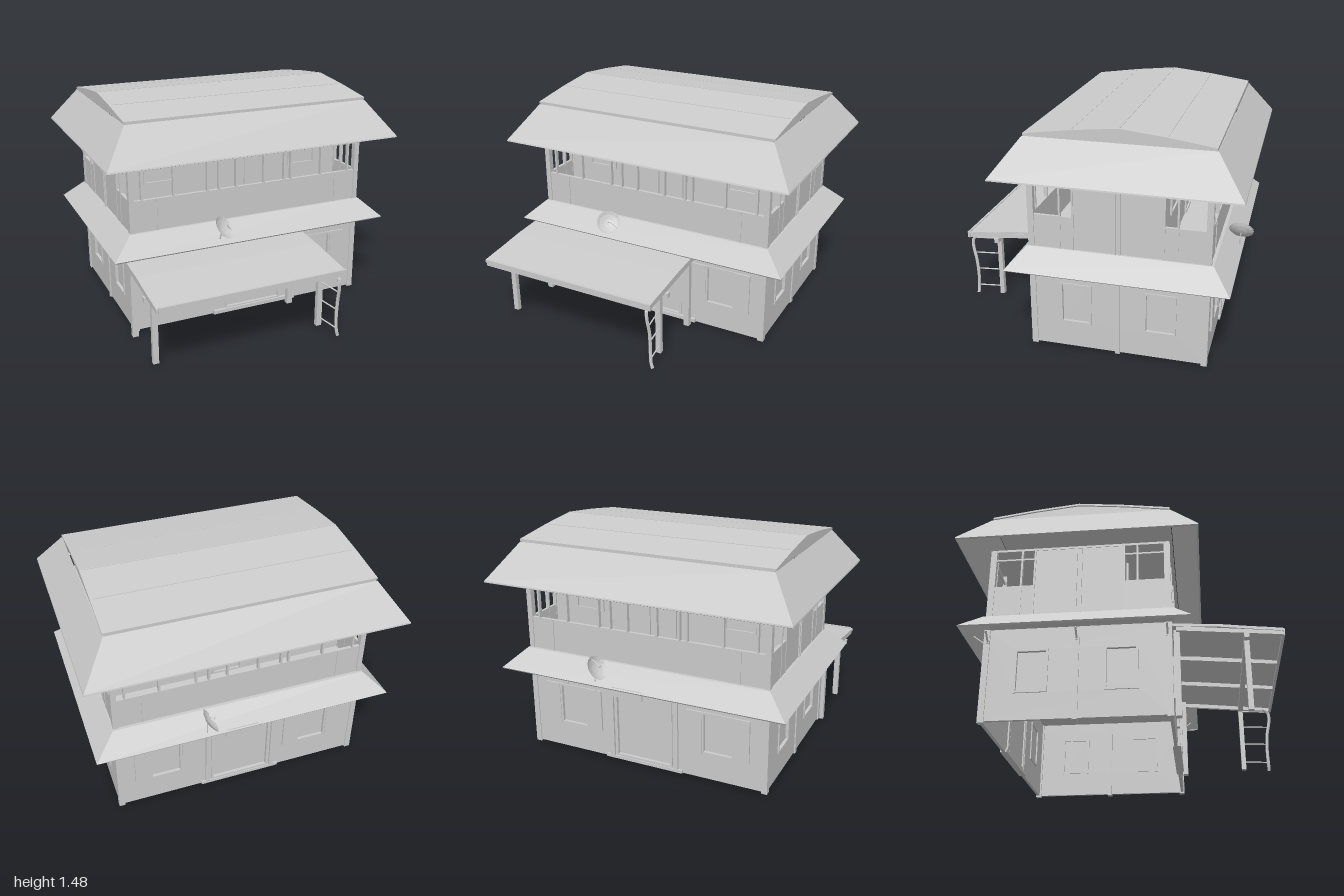
import * as THREE from 'three';

const mat = new THREE.MeshStandardMaterial({ color: 0xcccccc, flatShading: true, side: THREE.DoubleSide });
const ZC = -0.225, HX = 0.82, HZ = 0.555; // house centre and half sizes

function add(parent, name, geo) {
  const m = new THREE.Mesh(geo, mat);
  m.name = name;
  parent.add(m);
  return m;
}
// box given by its extents on each axis
function box(parent, name, x0, x1, y0, y1, z0, z1) {
  const m = add(parent, name, new THREE.BoxGeometry(x1 - x0, y1 - y0, z1 - z0));
  m.position.set((x0 + x1) / 2, (y0 + y1) / 2, (z0 + z1) / 2);
  return m;
}
// square or round bar between two points
function bar(parent, name, a, b, r, sides = 4) {
  const A = new THREE.Vector3(...a), B = new THREE.Vector3(...b), d = B.clone().sub(A);
  const m = add(parent, name, new THREE.CylinderGeometry(r, r, d.length(), sides));
  m.position.copy(A).add(B).multiplyScalar(0.5);
  m.quaternion.setFromUnitVectors(new THREE.Vector3(0, 1, 0), d.normalize());
  return m;
}
function rectShape(x0, x1, y0, y1, Type = THREE.Shape) {
  return new Type([[x0, y0], [x1, y0], [x1, y1], [x0, y1]].map(p => new THREE.Vector2(...p)));
}
// rings of four corners {x, y, z0, z1} joined into sloping roof faces
function hipRoof(parent, name, rings) {
  const pos = [];
  const corners = r => [[-r.x, r.y, r.z1], [r.x, r.y, r.z1], [r.x, r.y, r.z0], [-r.x, r.y, r.z0]];
  for (let i = 0; i < rings.length - 1; i++) {
    const a = corners(rings[i]), b = corners(rings[i + 1]);
    for (let k = 0; k < 4; k++) {
      const n = (k + 1) % 4;
      pos.push(...a[k], ...a[n], ...b[n], ...a[k], ...b[n], ...b[k]);
    }
  }
  const g = new THREE.BufferGeometry();
  g.setAttribute('position', new THREE.Float32BufferAttribute(pos, 3));
  g.computeVertexNormals();
  return add(parent, name, g);
}
// (z, y) outline extruded along x
function alongX(parent, name, pts, x0, x1) {
  const s = new THREE.Shape(pts.map(([z, y]) => new THREE.Vector2(-z, y)));
  const m = add(parent, name, new THREE.ExtrudeGeometry(s, { depth: x1 - x0, bevelEnabled: false }));
  m.rotation.y = Math.PI / 2;
  m.position.x = x0;
  return m;
}
// four thin bars around an opening
function frame(parent, name, x0, x1, y0, y1, z, d, t = 0.014) {
  box(parent, name, x0, x0 + t, y0, y1, z - d, z + d);
  box(parent, name, x1 - t, x1, y0, y1, z - d, z + d);
  box(parent, name, x0 + t, x1 - t, y0, y0 + t, z - d, z + d);
  box(parent, name, x0 + t, x1 - t, y1 - t, y1, z - d, z + d);
}
// group whose local +z is the outward normal of one house side
function side(root, name, angle, dist) {
  const g = new THREE.Group();
  g.name = name;
  g.rotation.y = angle;
  g.position.set(Math.sin(angle) * dist, 0, ZC + Math.cos(angle) * dist);
  root.add(g);
  return g;
}
// lower wall with openings, recessed panes and frames showing on both faces
function lowerWall(g, half, openings) {
  const s = rectShape(-half, half, 0.02, 0.6);
  for (const [x0, x1, y0, y1] of openings) {
    s.holes.push(rectShape(x0, x1, y0, y1, THREE.Path));
    box(g, 'pane', x0, x1, y0, y1, -0.018, -0.012);
    frame(g, 'windowFrame', x0, x1, y0, y1, -0.01, 0.018);
  }
  add(g, 'lowerWall', new THREE.ExtrudeGeometry(s, { depth: 0.02, bevelEnabled: false })).position.z = -0.02;
}
function shutteredWindow(g, x0, x1) {
  for (const [a, b] of [[x0 - 0.1, x0], [x1, x1 + 0.1]]) box(g, 'shutter', a, b, 0.19, 0.47, 0, 0.012);
  const arch = new THREE.Shape();
  arch.absarc(0, 0, 0.09, 0.6, Math.PI - 0.6, false);
  arch.absarc(0, 0, 0.055, Math.PI - 0.6, 0.6, true);
  const m = add(g, 'windowArch', new THREE.ExtrudeGeometry(arch, { depth: 0.012, bevelEnabled: false, curveSegments: 8 }));
  m.position.set((x0 + x1) / 2, 0.445, 0);
}
// rail panel, muntins and cross bar of an open gallery stretch
function gallery(g, x0, x1, muntins, muntinFoot) {
  box(g, 'railPanel', x0, x1, 0.68, 0.9, -0.02, 0);
  box(g, 'crossBar', x0, x1, 1.086, 1.097, -0.016, -0.004);
  for (const x of muntins) box(g, 'muntin', x - 0.006, x + 0.006, muntinFoot, 1.15, -0.022, 0.003);
}
function dish(root, at, normal, foot) {
  const g = new THREE.Group();
  g.name = 'dishAntenna';
  const prof = [[0, 0], [0.03, 0.004], [0.06, 0.014], [0.08, 0.026]].map(p => new THREE.Vector2(...p));
  add(g, 'dishBowl', new THREE.LatheGeometry(prof, 16));
  bar(g, 'dishArm', [0.07, 0.02, 0], [0, 0.05, 0], 0.002);
  add(g, 'dishReceiver', new THREE.CylinderGeometry(0.006, 0.006, 0.015, 6)).position.y = 0.05;
  g.position.set(...at);
  g.quaternion.setFromUnitVectors(new THREE.Vector3(0, 1, 0), new THREE.Vector3(...normal).normalize());
  root.add(g);
  bar(root, 'dishMast', foot, at, 0.004, 6);
}

export function createModel() {
  const root = new THREE.Group();
  root.name = 'house';
  const front = side(root, 'frontSide', 0, HZ), back = side(root, 'backSide', Math.PI, HZ);
  const left = side(root, 'leftSide', Math.PI / 2, HX), right = side(root, 'rightSide', -Math.PI / 2, HX);

  // Lower storey
  lowerWall(front, HX, [[-0.64, -0.42, 0.19, 0.46], [0.41, 0.62, 0.19, 0.47], [-0.18, 0.23, 0.04, 0.45]]);
  lowerWall(back, HX, [[-0.61, -0.4, 0.19, 0.47], [0.4, 0.61, 0.19, 0.47], [-0.2, 0.2, 0.04, 0.5]]);
  shutteredWindow(front, 0.41, 0.62);
  shutteredWindow(back, -0.61, -0.4);
  shutteredWindow(back, 0.4, 0.61);
  for (const x of [-0.27, 0.23]) box(front, 'doorPost', x, x + 0.04, 0.15, 0.47, -0.03, 0.018);
  box(front, 'doorStep', -0.27, 0.34, 0.02, 0.045, -0.03, 0.02);
  for (const x of [-0.24, 0.21]) box(back, 'doorPost', x, x + 0.03, 0.03, 0.53, -0.03, 0.014);
  box(back, 'doorStep', -0.27, 0.27, 0.02, 0.04, -0.03, 0.014);
  box(back, 'doorBoard', -0.15, 0.06, 0.52, 0.58, 0.115, 0.128);
  box(root, 'lowerCeiling', -HX, HX, 0.585, 0.6, ZC - HZ, ZC + HZ);
  for (const g of [left, right]) {
    const f = g === left ? 1 : -1;
    const win = c => [f * c - 0.1, f * c + 0.1, 0.185, 0.46];
    lowerWall(g, HZ, [win(-0.265), win(0.265)]);
    box(g, 'middlePost', -0.015, 0.015, 0.01, 0.57, -0.03, 0.008);
    // Upper side: open galleries at both ends of a closed middle
    for (const s of [-1, 1]) gallery(g, s < 0 ? -0.54 : 0.275, s < 0 ? -0.275 : 0.54, [s * 0.278, s * 0.36], 0.69);
    for (const x of [-0.015, 0.015]) box(g, 'panelStrip', x - 0.004, x + 0.004, 0.69, 1.15, -0.01, 0.006);
  }

  // Upper storey
  for (const g of [front, back]) {
    gallery(g, -HX, HX, [-0.74, -0.53, -0.3, -0.22, -0.1, 0.1, 0.25, 0.3, 0.53, 0.74], 0.9);
    for (const x of [-0.64, 0.64]) box(g, 'panelStrip', x - 0.004, x + 0.004, 0.69, 0.9, -0.016, 0.005);
    for (const x of [-0.53, 0.53]) frame(g, 'roomWindow', x - 0.105, x + 0.105, 0.9, 1.14, -0.28, 0.012);
    frame(g, 'roomDoor', -0.1, 0.1, 0.7, 1.14, -0.28, 0.012);
    box(g, 'roomDoorBar', -0.1, 0.1, 1.025, 1.035, -0.28, -0.27);
  }
  box(root, 'upperRoom', -HX + 0.003, HX - 0.003, 0.68, 1.16, ZC - 0.275, ZC + 0.275);
  box(root, 'upperFloor', -HX, HX, 0.675, 0.69, ZC - HZ, ZC + HZ);
  box(root, 'upperCeiling', -HX, HX, 1.15, 1.165, ZC - HZ, ZC + HZ);

  // Corner posts and eave brackets
  for (const sx of [-1, 1]) {
    for (const sz of [-1, 1]) {
      const x = sx * 0.808, z = ZC + sz * 0.542;
      box(root, 'cornerPost', x - 0.019, x + 0.019, 0.01, 0.6, z - 0.019, z + 0.019);
      box(root, 'upperPost', x - 0.017, x + 0.017, 0.68, 1.16, z - 0.019, z + 0.019);
      bar(root, 'eaveBracket', [x, 0.5, z], [x, 0.57, z + sz * 0.09], 0.006);
    }
    for (const z of [ZC - 0.535, ZC, ZC + 0.535]) {
      bar(root, 'eaveBracket', [sx * 0.82, 0.51, z], [sx * 0.885, 0.565, z], 0.006);
      box(root, 'bracketFoot', sx * 0.823 - 0.008, sx * 0.823 + 0.008, 0.51, 0.56, z - 0.01, z + 0.01);
    }
    bar(root, 'eaveBracket', [sx * 0.28, 0.5, ZC - HZ], [sx * 0.28, 0.57, ZC - HZ - 0.09], 0.006);
  }

  // Skirt roof between the storeys
  hipRoof(root, 'skirtRoof', [
    { x: 0.952, y: 0.56, z0: -0.908, z1: 0.448 }, { x: 0.962, y: 0.569, z0: -0.915, z1: 0.455 },
    { x: 0.83, y: 0.692, z0: -0.8, z1: 0.345 }, { x: 0.81, y: 0.692, z0: -0.78, z1: 0.325 }]);

  // Main roof: steep hipped eaves under a shallow folded top
  hipRoof(root, 'mainRoof', [
    { x: 0.987, y: 1.149, z0: -0.96, z1: 0.502 }, { x: 1, y: 1.154, z0: -0.97, z1: 0.515 },
    { x: 0.998, y: 1.163, z0: -0.968, z1: 0.512 }, { x: 0.835, y: 1.39, z0: -0.795, z1: 0.345 }]);
  const fold = [[0.34, 1.407], [0.05, 1.447], [-0.235, 1.476], [-0.51, 1.447], [-0.79, 1.407]];
  const under = fold.map(([z, y]) => [z, y - 0.013]);
  alongX(root, 'roofTop', [...fold, ...under.slice().reverse()], -0.838, 0.838);
  alongX(root, 'roofGable', [[0.34, 1.385], ...under, [-0.79, 1.385]], -0.828, 0.828);
  for (const [z, y] of fold.slice(1, 4)) box(root, 'roofSeam', -0.82, 0.82, y - 0.005, y + 0.002, z - 0.004, z + 0.004);

  // Porch roof with beams and posts
  const top = [[0.34, 0.555], [0.62, 0.536], [0.77, 0.517], [0.9, 0.503], [0.97, 0.494]];
  alongX(root, 'porchRoof', [...top, ...top.map(([z, y]) => [z, y - 0.017]).reverse()], -0.885, 0.345);
  for (const x of [-0.88, -0.48, -0.08, 0.32])
    alongX(root, 'porchRafter', [[0.36, 0.54], [0.96, 0.48], [0.96, 0.457], [0.36, 0.512]], x, x + 0.021);
  box(root, 'porchEdge', -0.87, 0.35, 0.459, 0.5, 0.96, 0.976);
  box(root, 'porchBeam', -0.892, 0.36, 0.444, 0.474, 0.745, 0.775);
  for (const x of [-0.83, 0.29]) {
    box(root, 'porchPost', x - 0.018, x + 0.018, 0.025, 0.455, 0.745, 0.775);
    box(root, 'wallPost', x - 0.02, x + 0.02, 0, 0.53, 0.345, 0.38);
  }

  // Ladder: a bent rail with rungs to the porch post
  const rail = new THREE.CatmullRomCurve3([[0.3, 0.46, 0.915], [0.31, 0.44, 0.95], [0.315, 0.38, 0.955],
    [0.32, 0.28, 0.935], [0.32, 0.15, 0.927], [0.325, 0.06, 0.93], [0.335, 0.025, 0.93]].map(p => new THREE.Vector3(...p)));
  add(root, 'ladderRail', new THREE.TubeGeometry(rail, 18, 0.011, 6));
  for (const y of [0.08, 0.21, 0.335, 0.45]) bar(root, 'ladderRung', [0.32, y, 0.935], [0.295, y, 0.76], 0.005, 6);

  // Dish antennas
  dish(root, [-0.255, 0.675, 0.45], [0.5, 0.62, 0.6], [-0.26, 0.58, 0.42]);
  dish(root, [0.27, 0.67, -0.895], [-0.85, 0.55, -0.05], [0.27, 0.52, -0.895]);
  return root;
}
